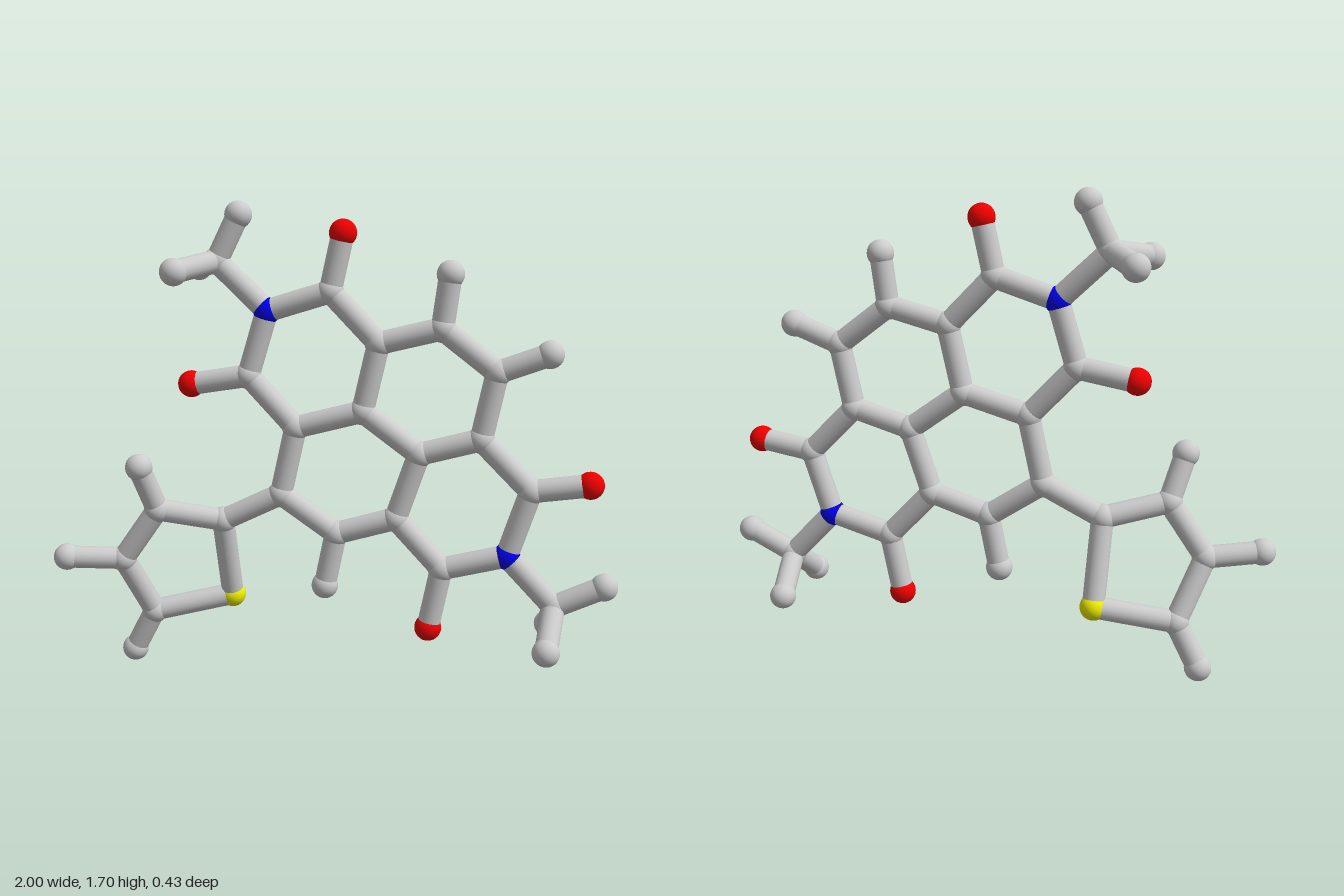
import * as THREE from 'three';

const ATOM_RADIUS = 0.048;
const BOND_RADIUS = 0.04;

// Element: plain name and colour
const ELEMENTS = {
  C: ['carbonAtom', 0xcccccc],
  H: ['hydrogenAtom', 0xcccccc],
  N: ['nitrogenAtom', 0x0000ee],
  O: ['oxygenAtom', 0xee0000],
  S: ['sulfurAtom', 0xeeee00],
};

// The fused rings lie in a plane turned very slightly about y
const flat = (x, y) => [x, y, 0.015 * x];
// The five-sided side ring is twisted out of that plane
const twisted = (x, y) => [x, y, -0.326 * (x + 0.41) + 0.26 * (y - 0.57)];

// Atoms: the first letter of each key is the element
const ATOMS = {
  // upper imide ring
  N1: flat(-0.24, 1.33), C1: flat(-0.015, 1.4), O1: flat(0.03, 1.6),
  C2: flat(-0.31, 1.1), O2: flat(-0.52, 1.065),
  // fused core
  C3: flat(0.155, 1.225), C4: flat(0.375, 1.28), C5: flat(0.565, 1.135),
  C6: flat(0.515, 0.9), C7: flat(0.3, 0.84), C8: flat(0.1, 0.985),
  C9: flat(-0.14, 0.92), C10: flat(-0.195, 0.675), C11: flat(0.005, 0.54),
  C12: flat(0.22, 0.605),
  H4: flat(0.4, 1.465), H5: flat(0.74, 1.2), H11: flat(-0.035, 0.345),
  // lower imide ring
  C13: flat(0.385, 0.43), O13: flat(0.34, 0.21), N2: flat(0.613, 0.49),
  C14: flat(0.69, 0.725), O14: flat(0.89, 0.755),
  // upper methyl group
  C20: [-0.42, 1.5, -0.01], H20: [-0.34, 1.66, -0.01],
  H21: [-0.53, 1.47, 0.145], H22: [-0.53, 1.47, -0.168],
  // lower methyl group
  C30: [0.78, 0.315, 0.01], H30: [0.95, 0.395, 0.01],
  H31: [0.76, 0.2, 0.165], H32: [0.76, 0.2, -0.142],
  // twisted side ring
  C15: twisted(-0.41, 0.57), C16: twisted(-0.63, 0.62), C17: twisted(-0.765, 0.43),
  C18: twisted(-0.68, 0.21), S1: twisted(-0.4, 0.265),
  H16: twisted(-0.675, 0.785), H17: twisted(-0.955, 0.445), H18: twisted(-0.765, 0.053),
};

// Each chain joins its atoms one after another
const CHAINS = [
  'C8 C3 C1 N1 C2 C9 C8',            // upper imide ring
  'C3 C4 C5 C6 C7 C8',               // right core ring
  'C9 C10 C11 C12 C7',               // left core ring
  'C12 C13 N2 C14 C6',               // lower imide ring
  'C15 C16 C17 C18 S1 C15',          // side ring
  'C10 C15', 'C1 O1', 'C2 O2', 'C13 O13', 'C14 O14',
  'C4 H4', 'C5 H5', 'C11 H11', 'C16 H16', 'C17 H17', 'C18 H18',
  'N1 C20 H20', 'H21 C20 H22', 'N2 C30 H30', 'H31 C30 H32',
];

export function createModel() {
  const model = new THREE.Group();
  model.name = 'molecule';
  const atoms = new THREE.Group();
  atoms.name = 'atoms';
  const bonds = new THREE.Group();
  bonds.name = 'bonds';
  model.add(atoms, bonds);

  // Atoms
  const ball = new THREE.SphereGeometry(ATOM_RADIUS, 28, 18);
  const materials = {};
  for (const key in ELEMENTS) {
    materials[key] = new THREE.MeshStandardMaterial({ color: ELEMENTS[key][1] });
  }
  for (const key in ATOMS) {
    const atom = new THREE.Mesh(ball, materials[key[0]]);
    atom.name = ELEMENTS[key[0]][0];
    atom.position.set(...ATOMS[key]);
    atoms.add(atom);
  }

  // Bonds: one unit cylinder stretched between each pair of atoms
  const rod = new THREE.CylinderGeometry(BOND_RADIUS, BOND_RADIUS, 1, 24, 1, true);
  const up = new THREE.Vector3(0, 1, 0);
  for (const chain of CHAINS) {
    const points = chain.split(' ').map((key) => new THREE.Vector3(...ATOMS[key]));
    for (let i = 1; i < points.length; i++) {
      const along = points[i].clone().sub(points[i - 1]);
      const bond = new THREE.Mesh(rod, materials.C);
      bond.name = 'bond';
      bond.position.copy(points[i - 1]).addScaledVector(along, 0.5);
      bond.scale.y = along.length();
      bond.quaternion.setFromUnitVectors(up, along.normalize());
      bonds.add(bond);
    }
  }
  return model;
}
